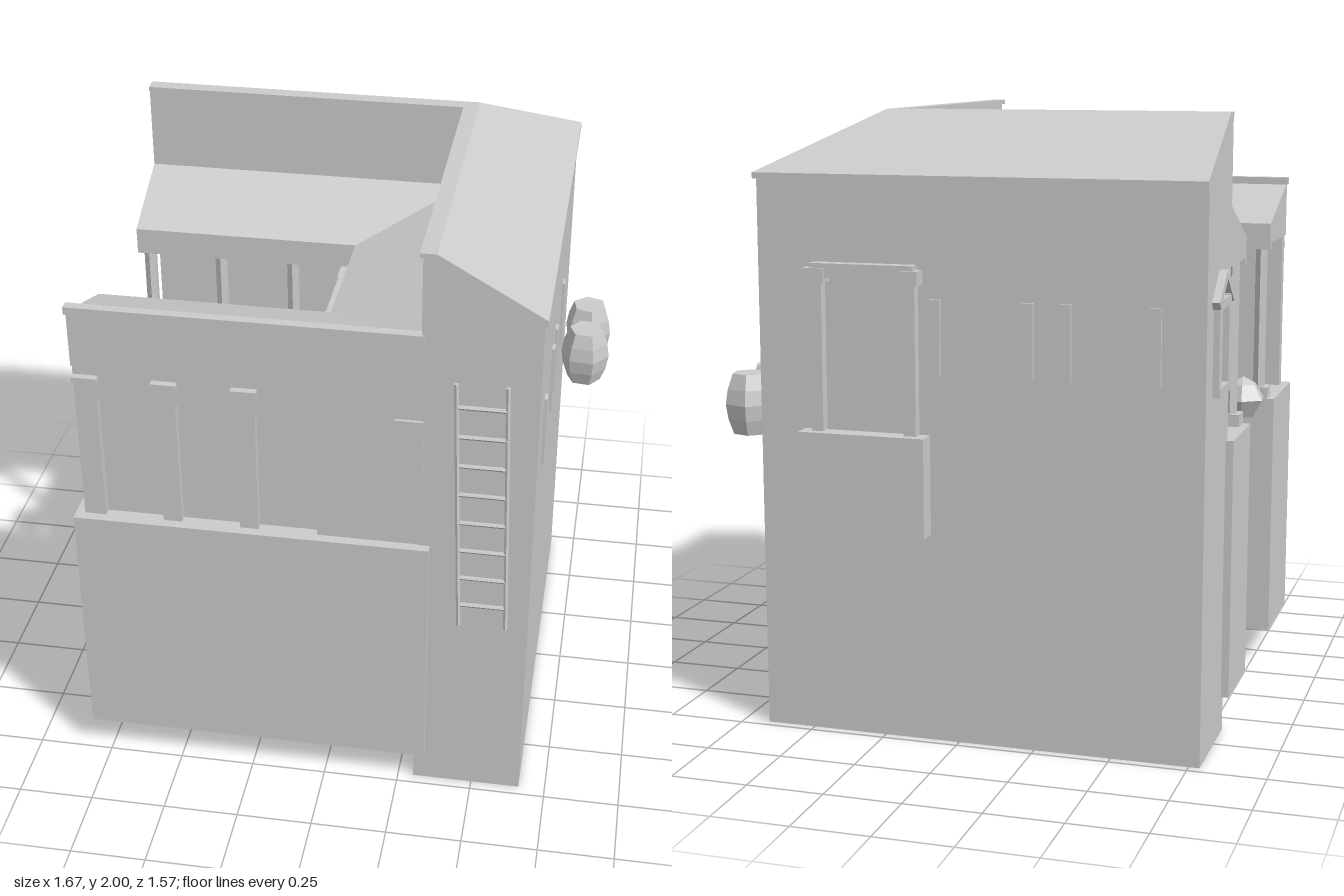
import * as THREE from 'three';

const grey = new THREE.MeshStandardMaterial({ color: 0xcccccc, flatShading: true, side: THREE.DoubleSide });

export function createModel() {
  const model = new THREE.Group();

  const add = (name, geometry, parent = model) => {
    const mesh = new THREE.Mesh(geometry, grey);
    mesh.name = name;
    parent.add(mesh);
    return mesh;
  };
  // Box given by its low and high corners
  const box = (name, [x0, y0, z0], [x1, y1, z1], parent) => {
    const mesh = add(name, new THREE.BoxGeometry(x1 - x0, y1 - y0, z1 - z0), parent);
    mesh.position.set((x0 + x1) / 2, (y0 + y1) / 2, (z0 + z1) / 2);
    return mesh;
  };
  // Round bar between two points
  const bar = (name, a, b, r, parent) => {
    const p = new THREE.Vector3(...a), q = new THREE.Vector3(...b);
    const mesh = add(name, new THREE.CylinderGeometry(r, r, p.distanceTo(q), 6), parent);
    mesh.position.copy(p).lerp(q, 0.5);
    mesh.quaternion.setFromUnitVectors(new THREE.Vector3(0, 1, 0), q.sub(p).normalize());
    return mesh;
  };
  // Closed profile of (offset, height) carried through mitred stations, ends capped
  const sweep = (name, profile, stations) => {
    const pos = [];
    const rings = stations.map(at => profile.map(([t, y]) => {
      const [x, z] = at(t);
      return [x, y, z];
    }));
    const tri = (a, b, c) => pos.push(...a, ...b, ...c);
    for (let i = 0; i + 1 < rings.length; i++) {
      profile.forEach((_, j) => {
        const k = (j + 1) % profile.length;
        const [a, b, c, d] = [rings[i][j], rings[i][k], rings[i + 1][k], rings[i + 1][j]];
        tri(a, b, c);
        tri(a, c, d);
      });
    }
    const first = rings[0], last = rings[rings.length - 1];
    const flat = profile.map(p => new THREE.Vector2(...p));
    for (const [a, b, c] of THREE.ShapeUtils.triangulateShape(flat, [])) {
      tri(first[a], first[b], first[c]);
      tri(last[a], last[c], last[b]);
    }
    const geometry = new THREE.BufferGeometry();
    geometry.setAttribute('position', new THREE.Float32BufferAttribute(pos, 3));
    geometry.computeVertexNormals();
    return add(name, geometry);
  };

  // Tall L-shaped house with its hipped lean-to roof
  sweep('tallHouse',
    [[0.01, 0], [0.01, 1.79], [0, 1.79], [0, 1.81], [0.33, 2], [0.38, 2], [0.38, 1.985], [0.37, 1.985], [0.37, 0]],
    [d => [-0.785, -0.73 + d], d => [0.672 - d, -0.73 + d], d => [0.672 - d, 0.715]]);

  // C-shaped ring around the court, offset 0 at the outside and 1 at the court
  const ring = (left, back, right, front, innerBack, innerRight, innerFront) => {
    const mix = THREE.MathUtils.lerp;
    return [
      t => [left, mix(back, innerBack, t)],
      t => [mix(right, innerRight, t), mix(back, innerBack, t)],
      t => [mix(right, innerRight, t), mix(front, innerFront, t)],
      t => [left, mix(front, innerFront, t)],
    ];
  };
  sweep('platform', [[0, 0.12], [0, 0.97], [1, 0.97], [1, 0.12]],
    ring(-0.81, -0.39, 0.34, 0.745, -0.09, -0.03, 0.375));
  sweep('courtRoof', [[0, 1.52], [0, 1.71], [1, 1.59], [1, 1.5], [0.93, 1.5], [0.93, 1.52]],
    ring(-0.785, -0.36, 0.305, 0.712, -0.09, -0.03, 0.375));
  box('frontCornice', [-0.79, 1.705, 0.69], [0.31, 1.73, 0.722]);
  box('courtRoom', [-0.02, 0.96, -0.36], [0.31, 1.53, 0.7]);

  // Blind arcade on the front
  const wall = new THREE.Shape([[-0.78, 0.96], [0.31, 0.96], [0.31, 1.53], [-0.78, 1.53]].map(p => new THREE.Vector2(...p)));
  for (const x of [-0.615, -0.365, -0.115]) {
    const arch = new THREE.Path();
    arch.moveTo(x - 0.095, 0.97).lineTo(x + 0.095, 0.97).lineTo(x + 0.095, 1.4);
    arch.absellipse(x, 1.4, 0.095, 0.06, 0, Math.PI, false);
    arch.lineTo(x - 0.095, 0.97);
    wall.holes.push(arch);
  }
  const arcade = add('frontArcade', new THREE.ExtrudeGeometry(wall, { depth: 0.03, bevelEnabled: false, curveSegments: 8 }));
  arcade.position.z = 0.682;
  box('arcadeBacking', [-0.78, 0.96, 0.665], [0.31, 1.53, 0.685]);
  for (const x of [-0.74, -0.49, -0.24]) box('pierCap', [x - 0.04, 1.473, 0.69], [x + 0.04, 1.492, 0.735]);

  // Gallery columns on both sides of the court
  for (const z of [-0.125, 0.41]) {
    for (const x of [-0.75, -0.5, -0.25]) {
      box('columnBase', [x - 0.035, 0.97, z - 0.035], [x + 0.035, 1.01, z + 0.035]);
      bar('column', [x, 1, z], [x, 1.52, z], 0.022);
    }
  }

  // Shutter edges standing proud of the walls
  const shutter = (x, z, w, d) => box('shutter', [x - w / 2, 1.19, z - d / 2], [x + w / 2, 1.43, z + d / 2]);
  for (const z of [0.51, 0.2, 0.07, -0.25]) shutter(0.66, z, 0.024, 0.036);
  for (const x of [0.07, -0.23, -0.35, -0.63]) shutter(x, -0.72, 0.036, 0.024);
  shutter(0.27, 0.71, 0.09, 0.024);

  // Small windows looking over the court roof
  for (const z of [0.02, 0.3]) box('upperWindow', [0.28, 1.74, z - 0.07], [0.31, 1.87, z + 0.07]);

  // Balcony window with panel, posts and lintel
  const balcony = (x, z, turn) => {
    const g = new THREE.Group();
    g.name = 'balconyWindow';
    box('balconyPanel', [-0.21, 0.68, -0.01], [0.21, 1, 0.065], g);
    for (const s of [-1, 1]) {
      const c = s * 0.155;
      box('windowPost', [c - 0.02, 0.99, 0], [c + 0.02, 1.48, 0.035], g);
      box('lintelBlock', [c - 0.035, 1.475, 0], [c + 0.035, 1.52, 0.055], g);
    }
    box('lintel', [-0.17, 1.49, 0], [0.17, 1.535, 0.045], g);
    g.position.set(x, 0, z);
    g.rotation.y = turn;
    model.add(g);
  };
  balcony(0.3, -0.72, Math.PI);
  balcony(-0.02, 0.13, -Math.PI / 2);

  // Gabled window on the end wall
  const gable = new THREE.Group();
  gable.name = 'gabledWindow';
  for (const s of [-1, 1]) {
    box('jamb', [s * 0.075 - 0.018, 1.15, 0], [s * 0.075 + 0.018, 1.45, 0.02], gable);
    const slope = box('gableBoard', [-0.07, -0.015, 0], [0.07, 0.015, 0.025], gable);
    slope.position.set(s * 0.06, 1.475, 0.0125);
    slope.rotation.z = -s * 0.66;
  }
  for (const y of [1.16, 1.43]) box('windowRail', [-0.08, y - 0.015, 0], [0.08, y + 0.015, 0.022], gable);
  gable.position.set(-0.785, 0, -0.53);
  gable.rotation.y = -Math.PI / 2;
  model.add(gable);

  // Hexagonal barrels and squat pots
  const turned = (name, profile, sides, x, y, z, turn) => {
    const mesh = add(name, new THREE.LatheGeometry(profile.map(p => new THREE.Vector2(...p)), sides));
    mesh.position.set(x, y, z);
    mesh.rotation.y = turn;
  };
  const barrel = [[0, 0], [0.06, 0], [0.078, 0.05], [0.086, 0.1], [0.078, 0.15], [0.06, 0.2], [0, 0.2]];
  turned('barrel', barrel, 6, 0.75, 0.95, -0.61, 0.2);
  turned('barrel', barrel, 6, 0.75, 0.95, -0.43, 0.4);
  turned('barrel', barrel, 6, -0.6, 0.95, 0.025, 0.4);
  const pot = [[0, 0], [0.04, 0], [0.076, 0.06], [0.045, 0.11], [0, 0.135]];
  turned('pot', pot, 6, -0.765, 0.975, 0.015, 0.1);
  turned('pot', pot.map(([r, y]) => [r * 0.85, y * 0.9]), 5, -0.29, 0.975, 0.015, 0.5);

  // Leaning ladder
  const ladder = new THREE.Group();
  ladder.name = 'ladder';
  const rail = (x0, x1) => t => [x0 + (x1 - x0) * t, 0.72 + 0.86 * t, 0.778 - 0.052 * t];
  const leftRail = rail(0.445, 0.41), rightRail = rail(0.595, 0.565);
  for (const at of [leftRail, rightRail]) bar('ladderRail', at(0), at(1), 0.008, ladder);
  for (let i = 0; i < 8; i++) {
    const t = 0.09 + i * 0.117;
    bar('ladderRung', leftRail(t), rightRail(t), 0.007, ladder);
  }
  model.add(ladder);

  return model;
}
